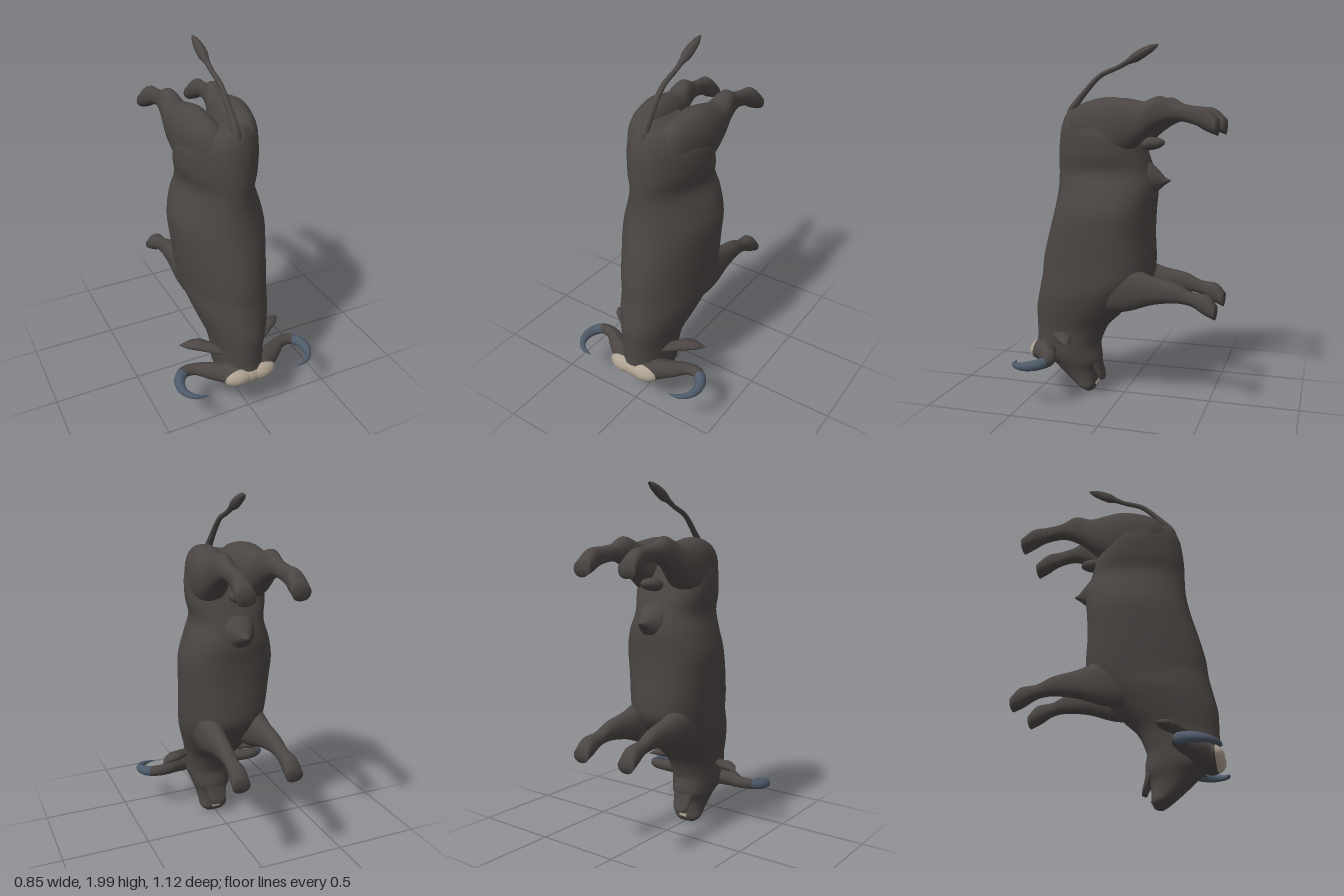
import * as THREE from 'three';

const mat = (name, color) => {
  const m = new THREE.MeshStandardMaterial({ color });
  m.name = name;
  return m;
};

// Closed loft. Each section: [upperY, upperZ, lowerY, lowerZ, halfWidth, centreX]
// skew makes the lower half wider than the upper, fading out along the loft
function loft(sections, { side = 1, shift = 0, skew = 0, steps = 4, sides = 28 } = {}) {
  const V = (x, y, z) => new THREE.Vector3(x, y, z);
  const upper = new THREE.CatmullRomCurve3(sections.map(s => V(s[4], s[0], s[1])), false, 'catmullrom', 0.5);
  const lower = new THREE.CatmullRomCurve3(sections.map(s => V((s[5] || 0) * side + shift, s[2], s[3])), false, 'catmullrom', 0.5);
  const rows = (sections.length - 1) * steps;
  const pos = [], idx = [], ends = [];
  const soft = v => Math.sign(v) * Math.abs(v) ** 0.9;
  for (let r = 0; r <= rows; r++) {
    const a = upper.getPoint(r / rows), b = lower.getPoint(r / rows);
    const my = (a.y + b.y) / 2, mz = (a.z + b.z) / 2, k = skew * (1 - r / rows);
    if (r === 0 || r === rows) ends.push([b.x, my, mz]);
    for (let i = 0; i < sides; i++) {
      const t = i / sides * Math.PI * 2, c = soft(Math.cos(t));
      pos.push(b.x + a.x * soft(Math.sin(t)) * (1 - k * c), my + (a.y - b.y) / 2 * c, mz + (a.z - b.z) / 2 * c);
    }
  }
  const first = (rows + 1) * sides;
  pos.push(...ends[0], ...ends[1]);
  for (let i = 0; i < sides; i++) {
    const j = (i + 1) % sides, e = rows * sides;
    for (let r = 0; r < rows; r++) {
      const p = r * sides, q = p + sides;
      idx.push(p + i, q + i, p + j, p + j, q + i, q + j);
    }
    idx.push(first, i, j, first + 1, e + j, e + i);
  }
  // Turn the faces outward
  let volume = 0;
  const at = k => V(pos[k * 3], pos[k * 3 + 1], pos[k * 3 + 2]);
  for (let k = 0; k < idx.length; k += 3) volume += at(idx[k]).dot(at(idx[k + 1]).cross(at(idx[k + 2])));
  if (volume < 0) idx.reverse();
  const g = new THREE.BufferGeometry();
  g.setAttribute('position', new THREE.Float32BufferAttribute(pos, 3));
  g.setIndex(idx);
  g.computeVertexNormals();
  return g;
}

// Tapered tube. Each point: [x, y, z, radius]; flat squashes it in y
function taper(points, side = 1, flat = 1, segments = 32, radial = 12) {
  const curve = new THREE.CatmullRomCurve3(points.map(p => new THREE.Vector3(p[0] * side, p[1], p[2])));
  const g = new THREE.TubeGeometry(curve, segments, 1, radial);
  const p = g.attributes.position, v = new THREE.Vector3();
  for (let i = 0; i <= segments; i++) {
    const c = curve.getPointAt(i / segments);
    const t = curve.getUtoTmapping(i / segments) * (points.length - 1);
    const k = Math.min(Math.floor(t), points.length - 2);
    const r = THREE.MathUtils.lerp(points[k][3], points[k + 1][3], t - k);
    for (let j = 0; j <= radial; j++) {
      const n = i * (radial + 1) + j;
      v.fromBufferAttribute(p, n).sub(c).multiplyScalar(r);
      v.y *= flat;
      v.add(c);
      p.setXYZ(n, v.x, v.y, v.z);
    }
  }
  g.computeVertexNormals();
  return g;
}

export function createModel() {
  const model = new THREE.Group();
  model.name = 'bull';
  const hide = mat('dark hide', 0x4b4644);
  const horn = mat('horn grey blue', 0x4e5a69);
  const pale = mat('pale forehead', 0xaea292);
  const add = (name, geometry, material = hide) => {
    const m = new THREE.Mesh(geometry, material);
    m.name = name;
    model.add(m);
    return m;
  };
  const ball = (name, [x, y, z], [rx, ry, rz]) => {
    const m = add(name, new THREE.SphereGeometry(1, 24, 16));
    m.position.set(x, y, z);
    m.scale.set(rx, ry, rz);
    return m;
  };
  // Pale front face of a forehead lobe
  const patch = (name, [x, y, z], [rx, ry, rz]) => {
    const cap = new THREE.SphereGeometry(1, 28, 10, 0, Math.PI * 2, 0, 1.12).rotateX(Math.PI / 2);
    const m = add(name, cap, pale);
    m.position.set(x, y, z);
    m.scale.set(rx, ry, rz);
  };

  // Trunk, neck and head in one skin, from rump to muzzle
  add('body', loft([
    [1.655, 0.27, 1.635, -0.02, 0.10, -0.015],
    [1.635, 0.33, 1.57, -0.06, 0.165, -0.015],
    [1.55, 0.368, 1.5, -0.09, 0.208, -0.015],
    [1.4, 0.385, 1.4, -0.13, 0.208, -0.015],
    [1.3, 0.385, 1.3, -0.165, 0.19, -0.015],
    [1.2, 0.388, 1.2, -0.185, 0.222, -0.012],
    [1.08, 0.41, 1.08, -0.175, 0.252, -0.01],
    [0.95, 0.445, 0.95, -0.172, 0.246, -0.008],
    [0.8, 0.48, 0.8, -0.18, 0.232, -0.005],
    [0.7, 0.49, 0.7, -0.165, 0.222],
    [0.6, 0.51, 0.6, -0.08, 0.208],
    [0.5, 0.53, 0.49, 0.01, 0.175],
    [0.4, 0.53, 0.4, 0.10, 0.143],
    [0.32, 0.53, 0.3, 0.145, 0.132],
    [0.25, 0.535, 0.26, 0.145, 0.128],
    [0.205, 0.51, 0.23, 0.14, 0.122],
    [0.175, 0.44, 0.19, 0.14, 0.112],
    [0.125, 0.385, 0.14, 0.162, 0.095],
    [0.075, 0.325, 0.085, 0.168, 0.087],
    [0.03, 0.265, 0.04, 0.168, 0.084],
    [0.004, 0.225, 0.012, 0.18, 0.05],
  ], { skew: 0.32 }));
  add('lowerJaw', loft([
    [0.21, 0.23, 0.22, 0.145, 0.075],
    [0.145, 0.18, 0.155, 0.135, 0.06],
    [0.10, 0.153, 0.105, 0.122, 0.05],
    [0.076, 0.143, 0.079, 0.119, 0.033],
  ]));
  const teeth = add('teeth', new THREE.BoxGeometry(0.05, 0.016, 0.008), pale);
  teeth.position.set(0, 0.05, 0.1665);

  const hindLeg = [
    [1.58, 0.30, 1.42, 0.28, 0.045, 0.085],
    [1.655, 0.25, 1.38, 0.22, 0.075, 0.095],
    [1.692, 0.17, 1.36, 0.14, 0.094, 0.106],
    [1.71, 0.05, 1.37, 0.02, 0.104, 0.118],
    [1.695, -0.05, 1.42, -0.07, 0.094, 0.124],
    [1.682, -0.13, 1.468, -0.13, 0.078, 0.13],
    [1.713, -0.23, 1.53, -0.20, 0.058, 0.135],
    [1.675, -0.31, 1.58, -0.30, 0.042, 0.137],
    [1.66, -0.40, 1.565, -0.41, 0.035, 0.142],
    [1.65, -0.48, 1.53, -0.48, 0.046, 0.147],
    [1.59, -0.548, 1.505, -0.543, 0.053, 0.148],
  ];
  const frontLeg = [
    [0.86, 0.16, 0.56, 0.14, 0.03, 0.125],
    [0.84, 0.05, 0.52, 0.05, 0.07, 0.128],
    [0.785, -0.08, 0.535, -0.07, 0.072, 0.134],
    [0.738, -0.20, 0.58, -0.20, 0.055, 0.14],
    [0.71, -0.33, 0.60, -0.33, 0.042, 0.147],
    [0.668, -0.42, 0.59, -0.42, 0.037, 0.15],
    [0.655, -0.51, 0.55, -0.49, 0.046, 0.152],
    [0.60, -0.558, 0.525, -0.552, 0.05, 0.154],
  ];
  const hornPath = [
    [0.10, 0.25, 0.455, 0.068], [0.2, 0.258, 0.40, 0.05], [0.27, 0.262, 0.357, 0.036],
    [0.34, 0.265, 0.355, 0.033], [0.385, 0.258, 0.395, 0.031], [0.4, 0.25, 0.455, 0.026],
    [0.38, 0.243, 0.51, 0.018], [0.34, 0.238, 0.542, 0.013], [0.277, 0.235, 0.555, 0.002],
  ];
  for (const [side, label] of [[1, 'left'], [-1, 'right']]) {
    add(label + 'HindLeg', loft(hindLeg, { side, shift: -0.016 }));
    add(label + 'FrontLeg', loft(frontLeg, { side }));

    // Horn: hide-coloured root, grey-blue tip
    const g = taper(hornPath, side, 0.95, 40);
    const split = 20 * 12 * 6;
    g.addGroup(0, split, 0);
    g.addGroup(split, g.index.count - split, 1);
    add(label + 'Horn', g, [hide, horn]);

    add(label + 'Ear', taper([
      [0.1, 0.35, 0.38, 0.03], [0.17, 0.363, 0.33, 0.038], [0.225, 0.373, 0.29, 0.045],
      [0.27, 0.371, 0.268, 0.034], [0.318, 0.362, 0.24, 0.002],
    ], side, 0.6));

    ball(label + 'Poll', [side * 0.066, 0.247, 0.475], [0.1, 0.06, 0.073]);
    patch(label + 'ForeheadPatch', [side * 0.066, 0.247, 0.477], [0.102, 0.061, 0.076]);
  }
  // Middle of the forehead joins the two lobes
  ball('poll', [0, 0.247, 0.475], [0.1, 0.06, 0.068]);
  patch('foreheadPatch', [0, 0.246, 0.477], [0.11, 0.063, 0.071]);

  // Tail with a tuft
  add('tail', taper([
    [-0.015, 1.56, 0.345, 0.015], [-0.017, 1.64, 0.315, 0.023], [-0.019, 1.73, 0.245, 0.017],
    [-0.02, 1.83, 0.145, 0.014], [-0.02, 1.875, 0.04, 0.013], [-0.02, 1.902, -0.01, 0.015],
    [-0.02, 1.925, -0.055, 0.027], [-0.02, 1.95, -0.1, 0.027], [-0.02, 1.975, -0.15, 0.02],
    [-0.02, 1.993, -0.187, 0.005],
  ], 1, 1, 48));

  // Underside
  add('sheath', loft([
    [1.42, -0.05, 1.08, -0.08, 0.11, -0.012],
    [1.36, -0.14, 1.16, -0.16, 0.09, -0.012],
    [1.315, -0.19, 1.195, -0.195, 0.06, -0.012],
    [1.27, -0.235, 1.225, -0.228, 0.028, -0.012],
    [1.257, -0.265, 1.25, -0.263, 0.004, -0.012],
  ]));
  ball('scrotum', [-0.012, 1.455, -0.14], [0.05, 0.036, 0.09]).rotation.x = 0.1;
  return model;
}
